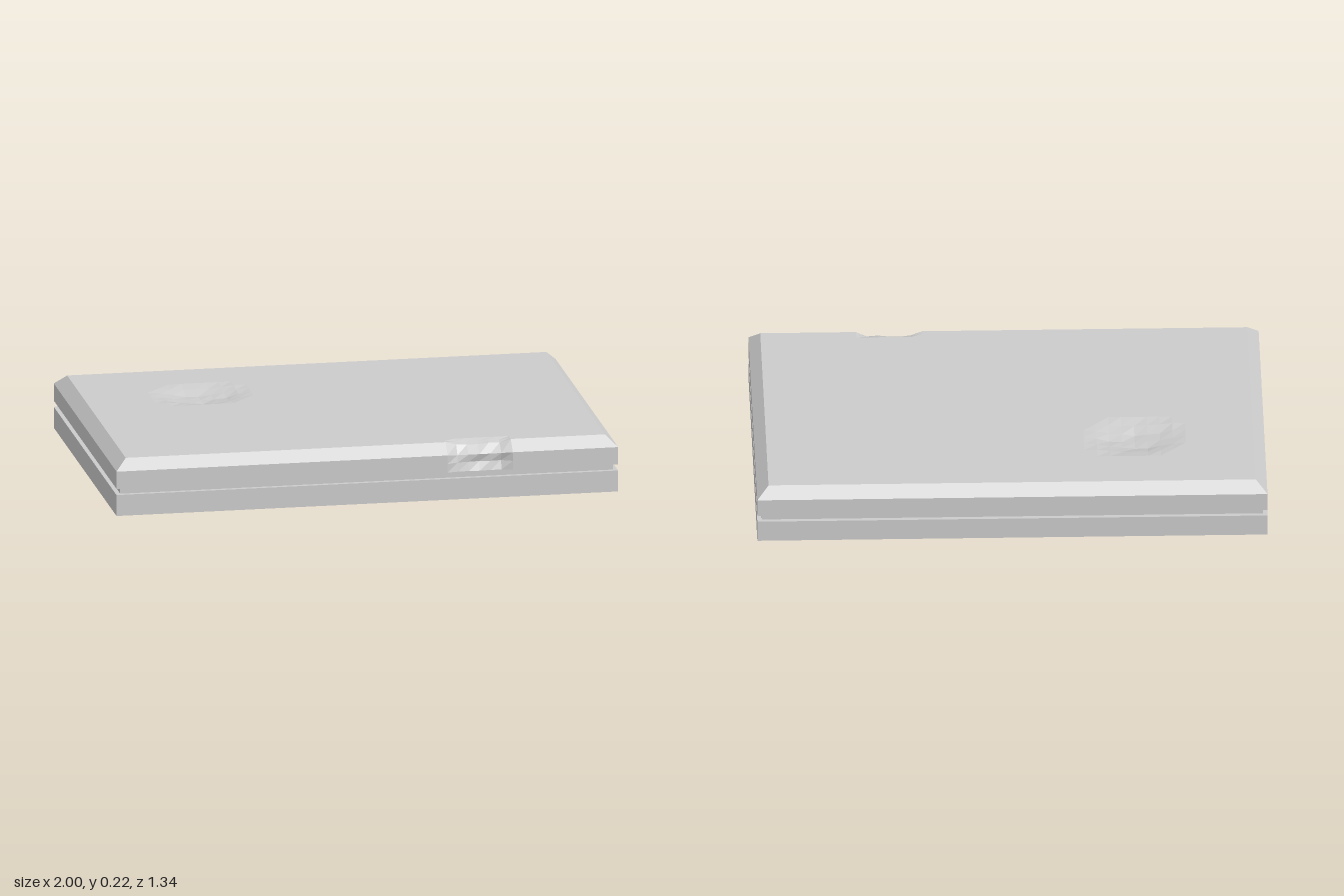
import * as THREE from 'three';

const HX = 1, HZ = 0.67, BEVEL = 0.045, TOP = 0.222;

// Evenly spaced values from a to b
const span = (a, b, n) => Array.from({ length: n + 1 }, (_, i) => a + (b - a) * i / n);

// Small deterministic unevenness so the damage looks hewn
const rough = (x, z) => Math.sin(x * 37 + z * 23) * Math.cos(x * 19 - z * 41);

const bump = (x, c, r) => Math.max(0, 1 - ((x - c) / r) ** 2);

// Shallow crater in the top, and a chip knocked out of the front edge
function wear([x, y, z]) {
  if (y > 0.2) {
    const r = Math.hypot((x + 0.49) / 0.19, (z + 0.26) / 0.155);
    if (r < 1) y -= 0.026 * Math.min(1, 1.5 * (1 - r)) * (1 + 0.2 * rough(x, z));
  }
  const chip = Math.min(1, 1.8 * bump(x, 0.45, 0.13)) * (1 + 0.35 * rough(x, y * 4));
  if (z > 0.57 && chip > 0) {
    if (y > 0.2) { // top face and its edge
      const k = Math.min(1, Math.max(0, (z - 0.58) / 0.045));
      y -= 0.014 * chip * k;
      z -= 0.008 * chip * k;
    } else if (y > 0.16) { // rim below the bevel
      y -= 0.006 * chip;
      z -= 0.018 * chip;
    } else if (y > 0.12) {
      z -= 0.018 * chip;
    } else if (y > 0.1 && z > 0.66) {
      z -= 0.009 * chip;
    }
  }
  return [x, y, z];
}

// Flat-shaded sheet through rows of points, listed bottom to top, left to right
function sheet(name, rows, material) {
  const pos = [];
  for (let j = 0; j < rows.length - 1; j++) {
    for (let i = 0; i < rows[j].length - 1; i++) {
      const a = rows[j][i], b = rows[j][i + 1], c = rows[j + 1][i + 1], d = rows[j + 1][i];
      pos.push(...a, ...b, ...c, ...a, ...c, ...d);
    }
  }
  const geometry = new THREE.BufferGeometry();
  geometry.setAttribute('position', new THREE.Float32BufferAttribute(pos, 3));
  geometry.computeVertexNormals();
  const mesh = new THREE.Mesh(geometry, material);
  mesh.name = name;
  return mesh;
}

export function createModel() {
  const group = new THREE.Group();
  group.name = 'groovedSlab';
  const material = new THREE.MeshStandardMaterial({ color: 0xcccccc, flatShading: true });

  // Wall profile as [height, inset]: base, groove, upper slab, bevel
  const profile = [
    [0, 0], [0.085, 0], [0.085, 0.018], [0.11, 0.018],
    [0.11, 0], [0.145, 0], [0.18, 0], [TOP, BEVEL],
  ];

  // Grid lines are dense only around the damage
  const craterX = span(-0.69, -0.29, 8), chipX = span(0.32, 0.58, 6);
  const craterZ = span(-0.42, -0.1, 6);

  // Four walls, each turned a quarter from the last
  ['frontWall', 'leftWall', 'backWall', 'rightWall'].forEach((name, k) => {
    const [half, out] = k % 2 ? [HZ, HX] : [HX, HZ];
    const inner = k === 0 ? [...craterX, ...chipX] : [];
    const rows = profile.map(([y, inset]) =>
      [inset - half, ...inner, half - inset].map((a) => {
        const d = out - inset;
        const [x, z] = [[a, d], [d, -a], [-a, -d], [-d, a]][k];
        return wear([x, y, z]);
      }));
    group.add(sheet(name, rows, material));
  });

  // Top face with crater and chipped edge
  const xs = [BEVEL - HX, ...craterX, ...chipX, HX - BEVEL];
  const zs = [HZ - BEVEL, 0.605, 0.58, ...craterZ.reverse(), BEVEL - HZ];
  group.add(sheet('topFace', zs.map((z) => xs.map((x) => wear([x, TOP, z]))), material));

  // Underside
  const under = [-HZ, HZ].map((z) => [[-HX, 0, z], [HX, 0, z]]);
  group.add(sheet('underside', under, material));

  return group;
}
